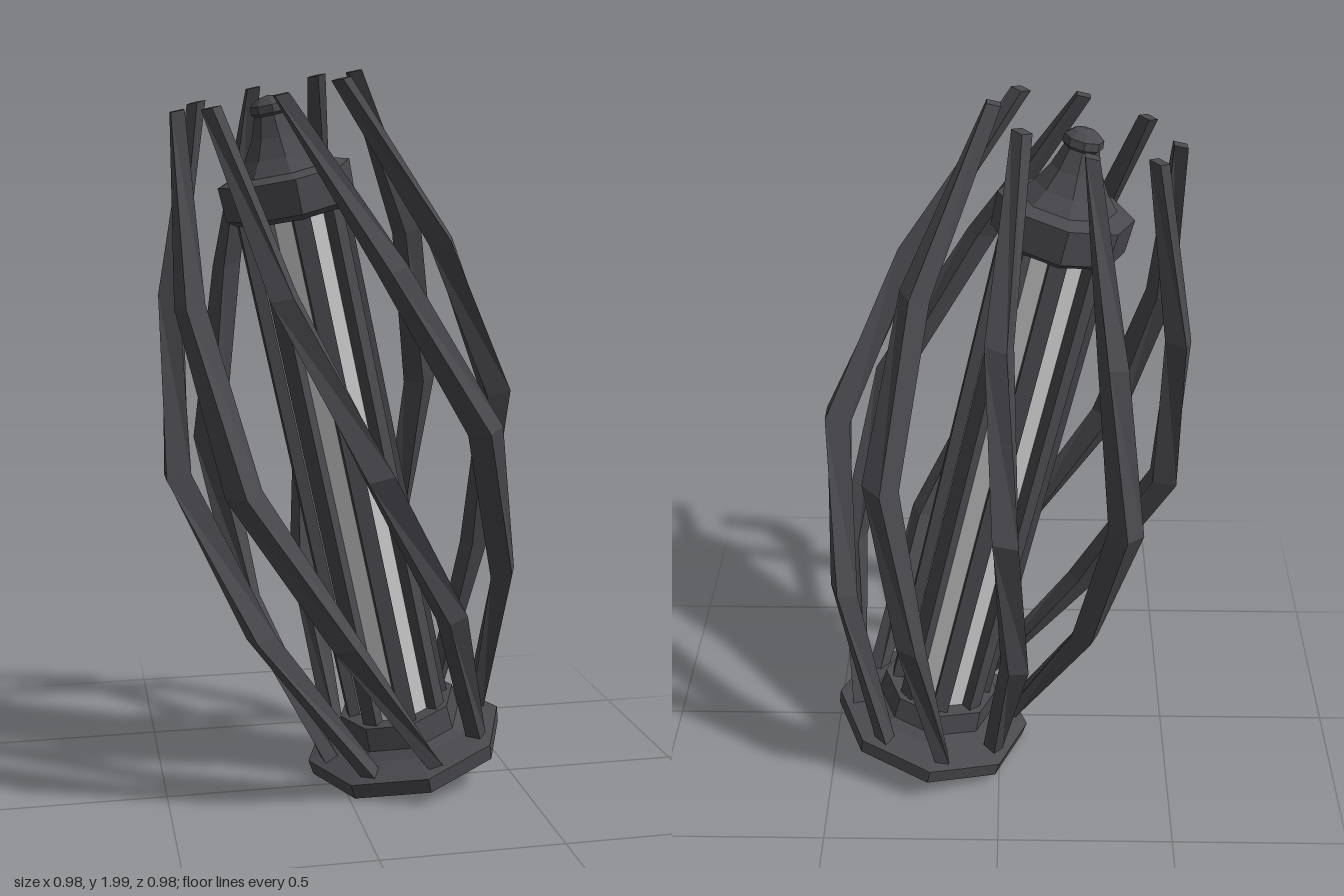
import * as THREE from 'three';

const metal = new THREE.MeshStandardMaterial({ color: 0x4a494e });
metal.name = 'darkMetal';
const glass = new THREE.MeshStandardMaterial({ color: 0xcccccc, side: THREE.DoubleSide });
glass.name = 'paleGlass';

const SIDES = 8;

// Faceted mesh: split the faces so each gets its own normal
function faceted(name, geometry, material) {
  const g = geometry.index ? geometry.toNonIndexed() : geometry;
  g.computeVertexNormals();
  const mesh = new THREE.Mesh(g, material);
  mesh.name = name;
  return mesh;
}

function octagonal(name, profile, material) {
  const points = profile.map(([r, y]) => new THREE.Vector2(r, y));
  return faceted(name, new THREE.LatheGeometry(points, SIDES), material);
}

// Square bar lofted through stations [height, radius, twist in degrees, half width]
function ribGeometry(stations, topAngle) {
  const corners = [[1, -1], [1, 1], [-1, 1], [-1, -1]];
  const positions = [];
  for (const [y, r, twist, h] of stations) {
    const a = topAngle - THREE.MathUtils.degToRad(twist);
    const c = Math.cos(a), s = Math.sin(a);
    for (const [u, v] of corners) {
      positions.push(c * (r + u * h) - s * v * h, y, s * (r + u * h) + c * v * h);
    }
  }
  const index = [0, 1, 2, 0, 2, 3];
  for (let i = 0; i < stations.length - 1; i++) {
    for (let j = 0; j < 4; j++) {
      const b = i * 4 + j, bn = i * 4 + (j + 1) % 4;
      index.push(b, b + 4, bn + 4, b, bn + 4, bn);
    }
  }
  const t = (stations.length - 1) * 4;
  index.push(t, t + 2, t + 1, t, t + 3, t + 2);
  const g = new THREE.BufferGeometry();
  g.setAttribute('position', new THREE.Float32BufferAttribute(positions, 3));
  g.setIndex(index);
  return g;
}

export function createModel() {
  const model = new THREE.Group();
  model.name = 'cagedLantern';
  const lantern = new THREE.Group();
  lantern.name = 'leaningLantern';
  model.add(lantern);

  // Hollow base: flange, drum and stepped underside
  lantern.add(octagonal('base', [
    [0.12, 0.155], [0.12, 0.11], [0.18, 0.07], [0.185, 0.04], [0.245, 0],
    [0.285, 0], [0.29, 0.045], [0.2, 0.065], [0.175, 0.085], [0.17, 0.155], [0.12, 0.155],
  ], metal));

  // Glass tube
  lantern.add(octagonal('glassTube', [[0.125, 0.1], [0.125, 1.62]], glass));

  // Cap, curved roof and finial
  lantern.add(octagonal('cap', [
    [0, 1.605], [0.155, 1.605], [0.175, 1.62], [0.178, 1.71], [0.135, 1.722], [0, 1.722],
  ], metal));
  lantern.add(octagonal('roof', [
    [0.13, 1.72], [0.095, 1.76], [0.065, 1.81], [0.045, 1.865],
    [0.052, 1.872], [0.05, 1.892], [0.03, 1.908], [0, 1.914],
  ], metal));

  // Straight bars on the corners of the glass, and twisted ribs outside
  const stations = [
    [0.045, 0.23, 98, 0.021],
    [0.52, 0.375, 67, 0.03],
    [0.99, 0.457, 46, 0.034],
    [1.46, 0.37, 27, 0.029],
    [1.925, 0.235, 0, 0.018],
  ];
  for (let i = 0; i < SIDES; i++) {
    const a = (i / SIDES) * Math.PI * 2;
    const bar = faceted('glassBar', new THREE.BoxGeometry(0.035, 1.48, 0.045), metal);
    bar.position.set(Math.cos(a) * 0.13, 0.88, Math.sin(a) * 0.13);
    bar.rotation.y = -a;
    lantern.add(bar);
    lantern.add(faceted('twistedRib', ribGeometry(stations, a), metal));
  }

  // Lean the whole lantern
  const axis = new THREE.Vector3(-0.42, 1.86, 0.155).normalize();
  lantern.quaternion.setFromUnitVectors(new THREE.Vector3(0, 1, 0), axis);
  lantern.position.set(0.21, 0.068, -0.08);
  return model;
}
